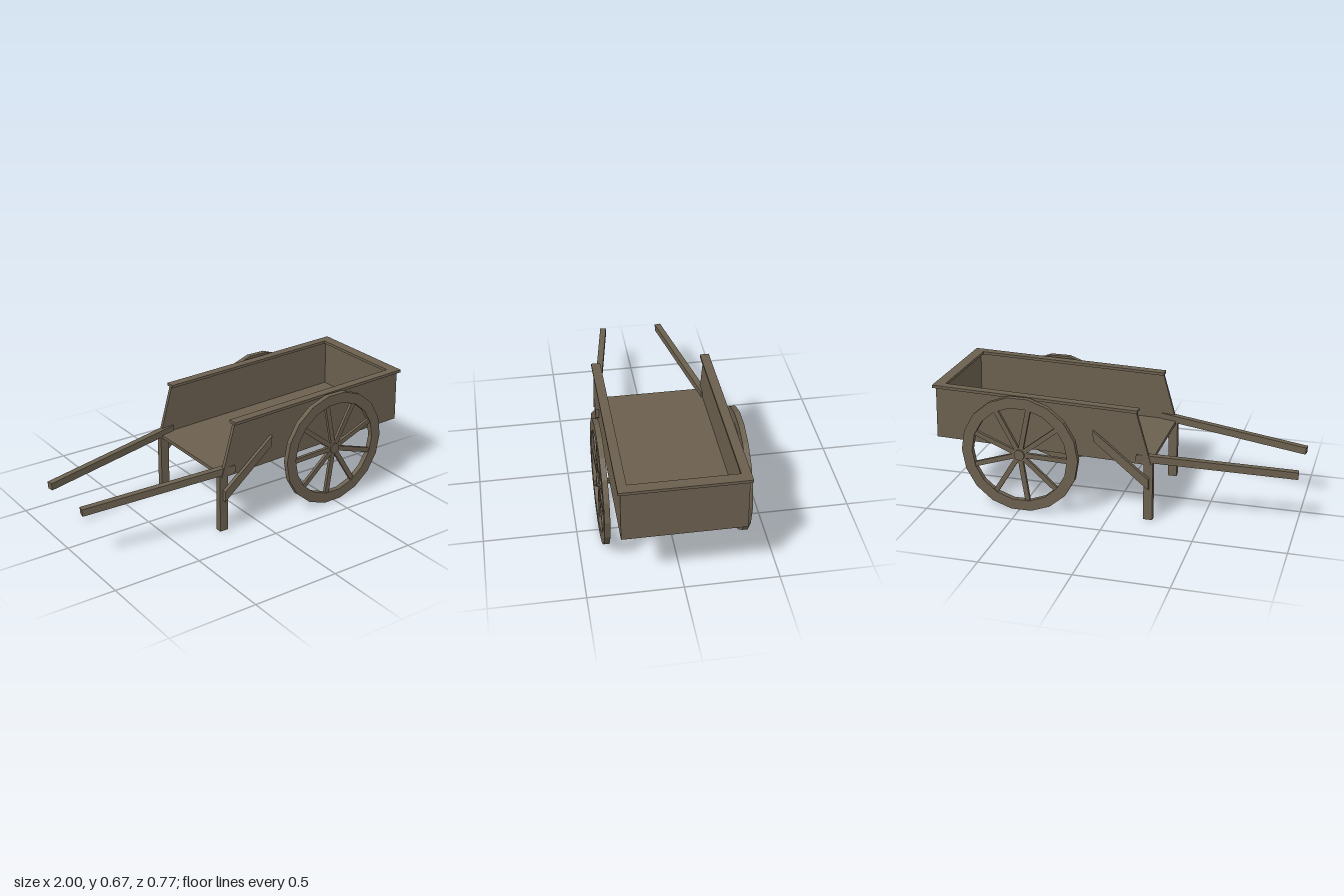
import * as THREE from 'three';

const wood = new THREE.MeshStandardMaterial({ color: 0x6b604f, flatShading: true });

function add(parent, name, geometry, x = 0, y = 0, z = 0) {
  const mesh = new THREE.Mesh(geometry, wood);
  mesh.name = name;
  mesh.position.set(x, y, z);
  parent.add(mesh);
  return mesh;
}

// Flat board from an outline in x/y, centred on its thickness in z
function board(points, thickness, hole) {
  const shape = new THREE.Shape(points.map(([x, y]) => new THREE.Vector2(x, y)));
  if (hole) shape.holes.push(new THREE.Path(hole.map(([x, y]) => new THREE.Vector2(x, y))));
  return new THREE.ExtrudeGeometry(shape, { depth: thickness, bevelEnabled: false })
    .translate(0, 0, -thickness / 2);
}

function circle(radius, sides) {
  return Array.from({ length: sides }, (_, i) => {
    const a = (i / sides) * Math.PI * 2;
    return [radius * Math.cos(a), radius * Math.sin(a)];
  });
}

// Square bar running between two points
function bar(parent, name, from, to, height, width) {
  const a = new THREE.Vector3(...from), b = new THREE.Vector3(...to);
  const mesh = add(parent, name, new THREE.BoxGeometry(width, height, a.distanceTo(b)));
  mesh.position.copy(a).add(b).multiplyScalar(0.5);
  mesh.lookAt(b);
  return mesh;
}

function createWheel() {
  const wheel = new THREE.Group();
  wheel.name = 'wheel';
  add(wheel, 'wheelRim', board(circle(0.332, 18), 0.03, circle(0.272, 18)));
  add(wheel, 'hub', new THREE.CylinderGeometry(0.03, 0.03, 0.036, 12).rotateX(Math.PI / 2));
  for (let i = 0; i < 9; i++) {
    const spoke = add(wheel, 'spoke', new THREE.BoxGeometry(0.26, 0.027, 0.018).translate(0.145, 0, 0));
    spoke.rotation.z = THREE.MathUtils.degToRad(22 + i * 40);
  }
  return wheel;
}

export function createModel() {
  const cart = new THREE.Group();
  cart.name = 'handcart';

  // Tray, tipped slightly down towards the handles
  const tray = new THREE.Group();
  tray.name = 'tray';
  tray.position.set(-0.23, 0.325, 0);
  tray.rotation.z = 0.029;
  cart.add(tray);
  add(tray, 'floor', new THREE.BoxGeometry(1.2, 0.02, 0.61), 0.602, 0.011, 0);
  add(tray, 'endPanel', new THREE.BoxGeometry(0.02, 0.29, 0.6), 1.21, 0.145, 0);
  add(tray, 'endRim', new THREE.BoxGeometry(0.06, 0.016, 0.66), 1.208, 0.297, 0);

  // Wheel axle under the floor
  add(cart, 'axle', new THREE.CylinderGeometry(0.015, 0.015, 0.72, 8).rotateX(Math.PI / 2), 0.49, 0.325, 0);

  for (const side of [1, -1]) {
    // Side wall with slanted open end, and its capping rail
    add(tray, 'sideWall', board([[0, 0], [1.22, 0], [1.22, 0.29], [0.09, 0.29]], 0.02), 0, 0, side * 0.308);
    add(tray, 'sideRim', new THREE.BoxGeometry(1.095, 0.016, 0.05), 0.6305, 0.297, side * 0.305);

    const wheel = createWheel();
    wheel.position.set(0.49, 0.328, side * 0.365);
    cart.add(wheel);

    // Leg, diagonal brace and converging handle
    add(cart, 'leg', new THREE.BoxGeometry(0.05, 0.335, 0.035), -0.213, 0.1675, side * 0.296);
    add(cart, 'brace', board([[-0.22, 0.187], [0.085, 0.44], [0.085, 0.497], [-0.22, 0.247]], 0.024), 0, 0, side * 0.325);
    bar(cart, 'handle', [-0.997, 0.296, side * 0.172], [-0.145, 0.362, side * 0.308], 0.04, 0.035);
  }
  return cart;
}
